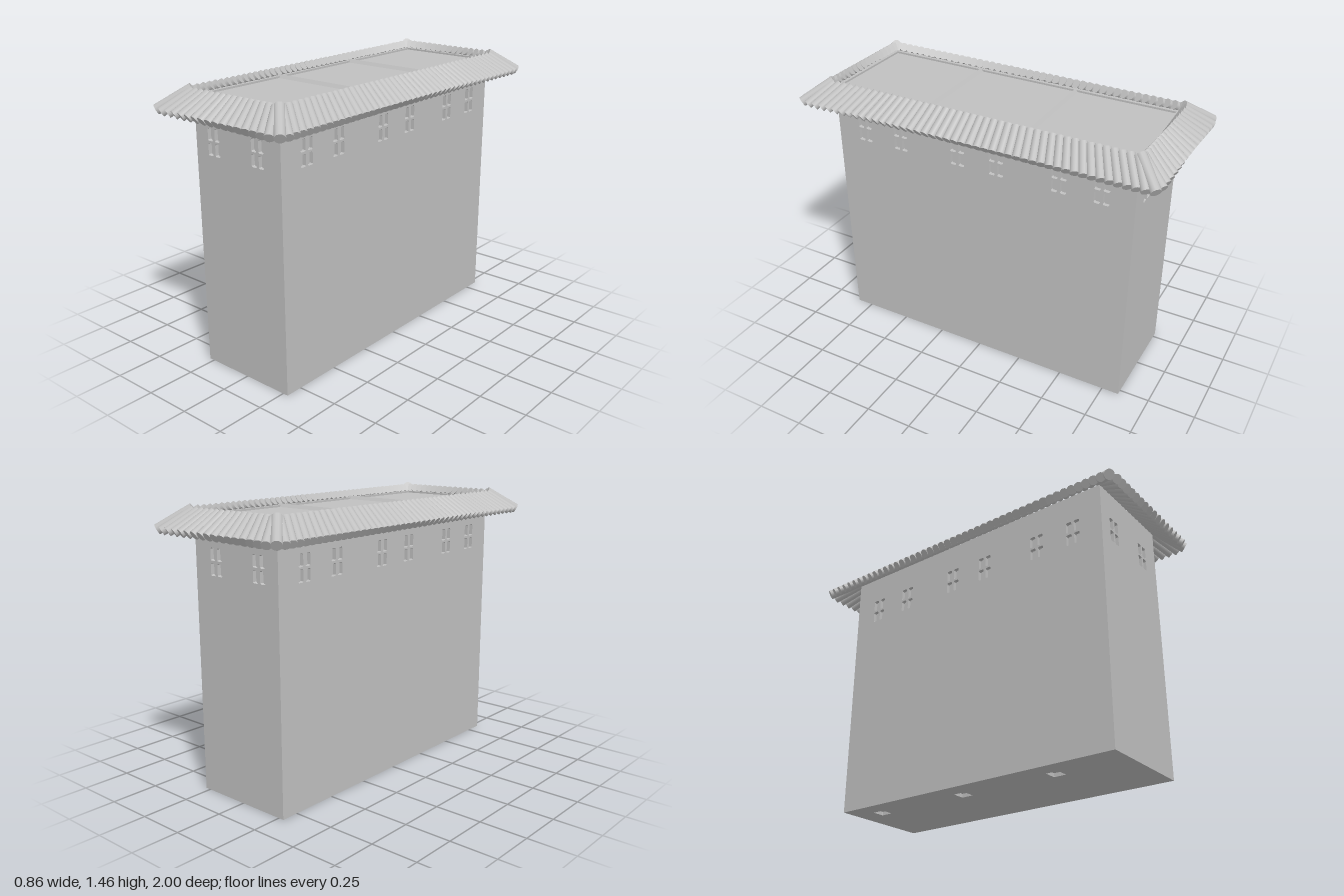
import * as THREE from 'three';

const HX = 0.28, HZ = 0.842, TOP = 1.41, T = 0.02; // body half sizes, height, wall thickness

const stone = new THREE.MeshStandardMaterial({ color: 0xc0c0c0 });
stone.name = 'light grey stone';

function add(group, name, geometry, x = 0, y = 0, z = 0) {
  const mesh = new THREE.Mesh(geometry, stone);
  mesh.name = name;
  mesh.position.set(x, y, z);
  group.add(mesh);
  return mesh;
}

// Rectangular hole with slightly cut corners
function hole(cx, cy, w, h, c = 0.005) {
  const a = w / 2, b = h / 2;
  return new THREE.Path([
    [-a + c, -b], [a - c, -b], [a, -b + c], [a, b - c],
    [a - c, b], [-a + c, b], [-a, b - c], [-a, -b + c],
  ].map(([x, y]) => new THREE.Vector2(cx + x, cy + y)));
}

function rect(x0, y0, x1, y1) {
  return new THREE.Shape([
    new THREE.Vector2(x0, y0), new THREE.Vector2(x1, y0),
    new THREE.Vector2(x1, y1), new THREE.Vector2(x0, y1),
  ]);
}

// Wall panel with recessed four-pane windows at the given centres
function wallGeometry(half, centres) {
  const shape = rect(-half, 0, half, TOP);
  for (const c of centres)
    for (const dx of [-0.0235, 0.0235])
      for (const y of [1.155, 1.228])
        shape.holes.push(hole(c + dx, y, 0.033, 0.062));
  return new THREE.ExtrudeGeometry(shape, { depth: T, bevelEnabled: false });
}

// Round tile running from the roof edge down to the eave
function tile(group, name, from, to, r) {
  const dir = to.clone().sub(from);
  const mid = from.clone().add(to).multiplyScalar(0.5);
  const m = add(group, name, new THREE.CylinderGeometry(r, r, dir.length(), 14), mid.x, mid.y, mid.z);
  m.quaternion.setFromUnitVectors(new THREE.Vector3(0, 1, 0), dir.normalize());
}

export function createModel() {
  const model = new THREE.Group();
  model.name = 'building';

  // Solid core behind the window recesses, topped by the flat roof
  const coreH = TOP - T - 0.01;
  add(model, 'coreAndFlatRoof', new THREE.BoxGeometry(2 * (HX - T), coreH, 2 * (HZ - T)), 0, T + coreH / 2, 0);

  // Outer walls
  const ends = [-0.157, 0.134];
  const sides = [-1, 0, 1].flatMap(k => [k * 0.5625 - 0.111, k * 0.5625 + 0.111]);
  add(model, 'frontWall', wallGeometry(HX, ends), 0, 0, HZ - T);
  add(model, 'backWall', wallGeometry(HX, ends.map(x => -x)), 0, 0, -HZ + T).rotation.y = Math.PI;
  for (const s of [-1, 1])
    add(model, s > 0 ? 'leftWall' : 'rightWall', wallGeometry(HZ - T, sides), s * (HX - T), 0, 0)
      .rotation.y = s * Math.PI / 2;

  // Base slab with three square recesses underneath
  const base = rect(-HX + T, -HZ + T, HX - T, HZ - T);
  for (const z of [-0.68, -0.1175, 0.445]) base.holes.push(hole(-0.147, z, 0.068, 0.068, 0.001));
  add(model, 'baseSlab', new THREE.ExtrudeGeometry(base, { depth: T, bevelEnabled: false }), 0, T, 0)
    .rotation.x = Math.PI / 2;

  // Low ridges dividing the flat roof into three
  for (const z of [-0.28, 0.28]) {
    const ridge = new THREE.Shape([
      new THREE.Vector2(-0.013, 0), new THREE.Vector2(0.013, 0), new THREE.Vector2(0, 0.018),
    ]);
    const g = new THREE.ExtrudeGeometry(ridge, { depth: 2 * HX, bevelEnabled: false });
    add(model, 'roofDivider', g, -HX, TOP - 0.01, z).rotation.y = Math.PI / 2;
  }

  // Sloping tiles around the roof, fanning out slightly to the corners
  const roof = new THREE.Group();
  roof.name = 'tiledEave';
  model.add(roof);
  const V = (x, y, z) => new THREE.Vector3(x, y, z);
  const yIn = 1.43, yOut = 1.335;
  for (const s of [-1, 1]) {
    for (let i = 0; i < 16; i++) {
      const t = i / 7.5 - 1;
      tile(roof, 'endTile', V(t * 0.27, yIn, s * 0.85), V(t * 0.355, yOut, s * 0.982), 0.0245);
    }
    for (let i = 0; i < 45; i++) {
      const t = i / 22 - 1;
      tile(roof, 'sideTile', V(s * 0.29, yIn, t * 0.835), V(s * 0.415, yOut, t * 0.925), 0.0235);
    }
    for (const q of [-1, 1])
      tile(roof, 'cornerTile', V(s * 0.285, 1.437, q * 0.845), V(s * 0.405, 1.338, q * 0.968), 0.027);
  }
  return model;
}
